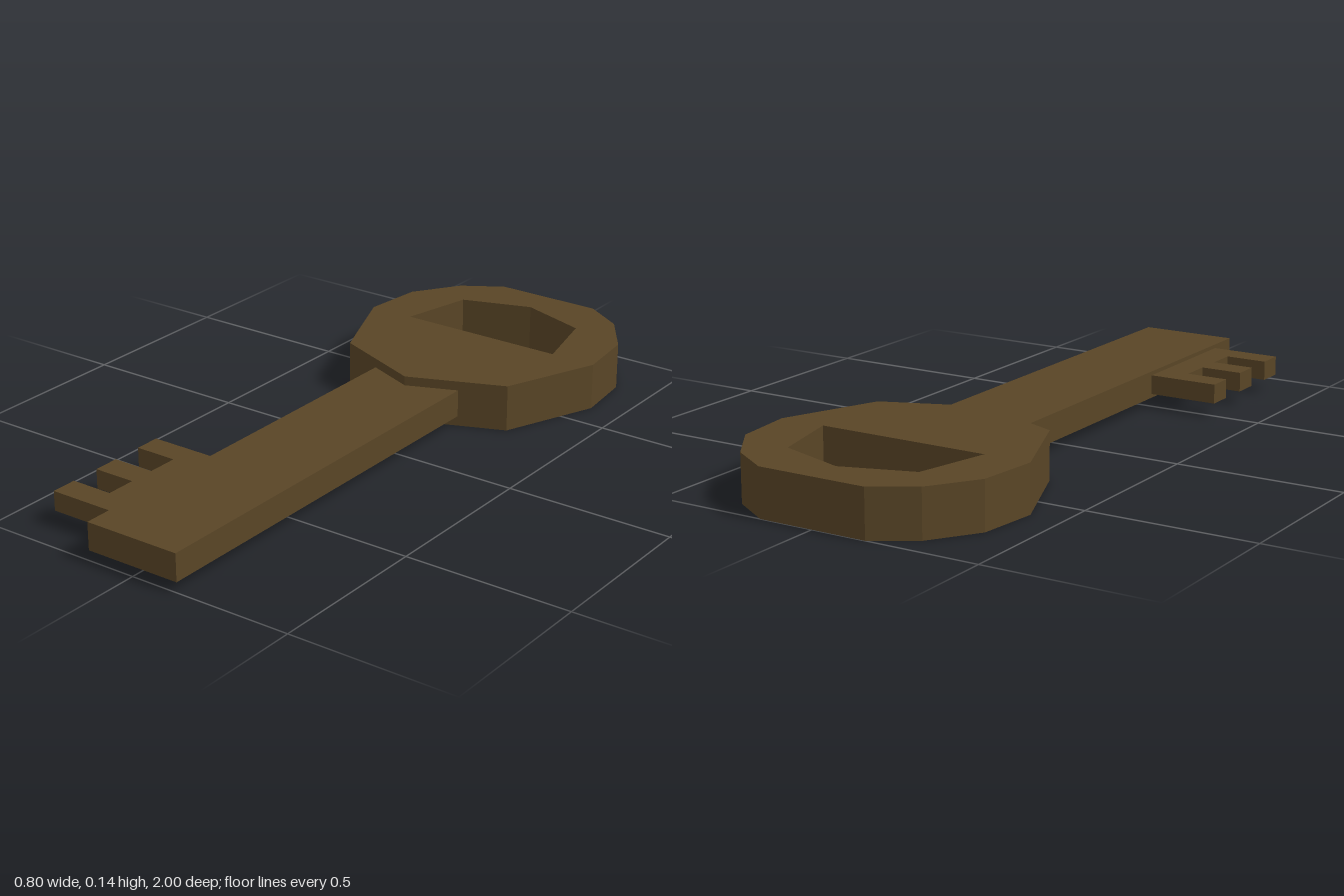
import * as THREE from 'three';

// Extrudes an outline given as [x, z] points between heights y0 and y1
function plate(name, outline, hole, y0, y1, material) {
  const toPoints = (list) => list.map(([x, z]) => new THREE.Vector2(x, z));
  const shape = new THREE.Shape(toPoints(outline));
  if (hole) shape.holes.push(new THREE.Path(toPoints(hole)));
  const geometry = new THREE.ExtrudeGeometry(shape, { depth: y1 - y0, bevelEnabled: false });
  geometry.rotateX(Math.PI / 2).translate(0, y1, 0);
  const mesh = new THREE.Mesh(geometry, material);
  mesh.name = name;
  return mesh;
}

// Completes a half outline by mirroring it across x = 0
function mirrored(half) {
  const other = half.filter(([x]) => x > 0).map(([x, z]) => [-x, z]).reverse();
  return [...half, ...other];
}

export function createModel() {
  const key = new THREE.Group();
  key.name = 'key';
  const bronze = new THREE.MeshStandardMaterial({ color: 0x594526 });
  bronze.name = 'dark bronze';

  // Faceted bow with a five-sided hole
  const bowOutline = mirrored([
    [0, -0.205], [0.283, -0.32], [0.4, -0.605], [0.38, -0.787], [0.285, -0.925], [0.165, -1],
  ]);
  const bowHole = mirrored([[0, -0.895], [0.208, -0.825], [0.26, -0.605]]);
  key.add(plate('bow', bowOutline, bowHole, 0, 0.14, bronze));

  // Flat shaft, its end set into the bow
  const shaft = new THREE.Mesh(new THREE.BoxGeometry(0.296, 0.082, 1.3), bronze);
  shaft.name = 'shaft';
  shaft.position.set(0, 0.071, 0.35);
  key.add(shaft);

  // Bit: a spine along the shaft with three teeth
  const bitOutline = [[-0.14, 0.9], [-0.14, 0.487]];
  for (const [start, end] of [[0.487, 0.563], [0.655, 0.733], [0.822, 0.9]]) {
    if (start > 0.5) bitOutline.push([-0.232, start]);
    bitOutline.push([-0.36, start], [-0.36, end]);
    if (end < 0.9) bitOutline.push([-0.232, end]);
  }
  key.add(plate('bit', bitOutline, null, 0.042, 0.1, bronze));

  return key;
}
